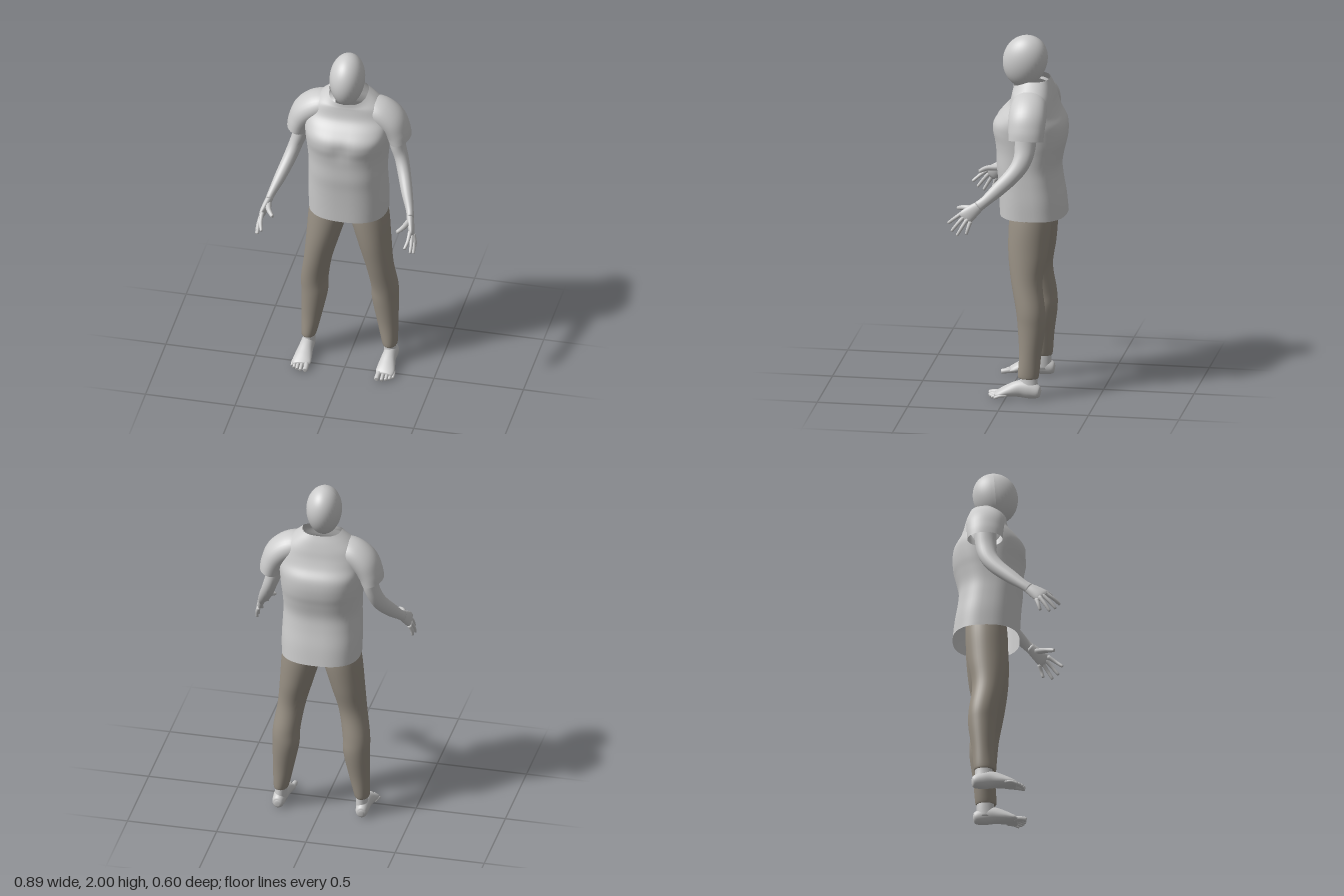
import * as THREE from 'three';

const lightGrey = new THREE.MeshStandardMaterial({ color: 0xcccccc, side: THREE.DoubleSide });
lightGrey.name = 'light grey';
const trouserTaupe = new THREE.MeshStandardMaterial({ color: 0x989084, side: THREE.DoubleSide });
trouserTaupe.name = 'trouser taupe';

// Smooth loft through rows of [x, y, z, radiusU, radiusV].
// level keeps every ring horizontal, power below 1 squares the section off.
function loft(rows, { level = false, power = 1, caps = true, sides = 24, steps = 5 } = {}) {
  const centre = new THREE.CatmullRomCurve3(rows.map(r => new THREE.Vector3(r[0], r[1], r[2])), false, 'catmullrom');
  const radii = new THREE.CatmullRomCurve3(rows.map(r => new THREE.Vector3(r[3], r[4], 0)), false, 'catmullrom');
  const n = (rows.length - 1) * steps;
  const down = Math.sign(rows[rows.length - 1][1] - rows[0][1]);
  const soften = c => Math.sign(c) * Math.pow(Math.abs(c), power);
  const pos = [], index = [];
  for (let i = 0; i <= n; i++) {
    const c = centre.getPoint(i / n), r = radii.getPoint(i / n);
    const t = level ? new THREE.Vector3(0, down, 0) : centre.getTangent(i / n);
    const u = new THREE.Vector3(1, 0, 0);
    u.addScaledVector(t, -u.dot(t)).normalize();
    const v = new THREE.Vector3().crossVectors(t, u);
    for (let j = 0; j < sides; j++) {
      const a = j / sides * Math.PI * 2;
      const p = c.clone().addScaledVector(u, r.x * soften(Math.cos(a))).addScaledVector(v, r.y * soften(Math.sin(a)));
      pos.push(p.x, p.y, p.z);
      if (i < n) {
        const k = i * sides + j, m = i * sides + (j + 1) % sides;
        index.push(k, m, m + sides, k, m + sides, k + sides);
      }
    }
  }
  if (caps) {
    const first = pos.length / 3, last = n * sides;
    const a = rows[0], b = rows[rows.length - 1];
    pos.push(a[0], a[1], a[2], b[0], b[1], b[2]);
    for (let j = 0; j < sides; j++) {
      const k = (j + 1) % sides;
      index.push(first, k, j, first + 1, last + j, last + k);
    }
  }
  const g = new THREE.BufferGeometry();
  g.setAttribute('position', new THREE.Float32BufferAttribute(pos, 3));
  g.setIndex(index);
  g.computeVertexNormals();
  return g;
}

// Tapered digit with a rounded tip
function digit(a, mid, b, r0, r1) {
  const end = b.map((q, i) => q + (b[i] - mid[i]) * 0.08);
  return loft([[...a, r0, r0], [...mid, (r0 + r1) / 2, (r0 + r1) / 2], [...b, r1, r1], [...end, r1 * 0.35, r1 * 0.35]],
    { sides: 10, steps: 4 });
}

export function createModel() {
  const model = new THREE.Group();
  model.name = 'figure';
  const add = (parent, name, geometry, material = lightGrey) => {
    const mesh = new THREE.Mesh(geometry, material);
    mesh.name = name;
    parent.add(mesh);
    return mesh;
  };

  // Head: plain egg, slightly narrower at the chin
  const egg = new THREE.SphereGeometry(1, 40, 28);
  const ep = egg.attributes.position;
  for (let i = 0; i < ep.count; i++) {
    const y = ep.getY(i), k = 1 + 0.06 * y;
    ep.setXYZ(i, ep.getX(i) * 0.096 * k, y * 0.145, ep.getZ(i) * 0.123 * k - 0.012 * y);
  }
  egg.computeVertexNormals();
  add(model, 'head', egg).position.set(0, 1.855, -0.066);

  // Shirt body: height, half width, front z, back z
  const profile = [
    [1.0, 0.217, 0.066, -0.3], [1.1, 0.219, 0.07, -0.289], [1.2, 0.216, 0.076, -0.272], [1.28, 0.214, 0.084, -0.266],
    [1.36, 0.218, 0.086, -0.281], [1.42, 0.224, 0.093, -0.295], [1.48, 0.23, 0.105, -0.3], [1.53, 0.235, 0.099, -0.292],
    [1.58, 0.236, 0.06, -0.262], [1.63, 0.226, 0.016, -0.243], [1.68, 0.2, 0, -0.231],
    [1.725, 0.155, -0.004, -0.218], [1.765, 0.108, -0.006, -0.203],
  ];
  const torso = loft(profile.map(([y, w, f, b]) => [0, y, (f + b) / 2, w, (f - b) / 2]),
    { level: true, power: 0.8, caps: false, sides: 56, steps: 5 });
  const tp = torso.attributes.position;
  for (let i = 0; i < tp.count; i++) {
    const x = tp.getX(i), y = tp.getY(i), z = tp.getZ(i);
    // hollow between the breasts, and a neckline that dips at the front
    if (z > 0) tp.setZ(i, z - 0.014 * Math.exp(-((x / 0.045) ** 2) - ((y - 1.48) / 0.06) ** 2));
    const high = THREE.MathUtils.smoothstep(y, 1.68, 1.765);
    tp.setY(i, y - 0.042 * high * THREE.MathUtils.clamp((z + 0.1) / 0.1, 0, 1));
  }
  torso.computeVertexNormals();
  add(model, 'shirtBody', torso);

  for (const s of [1, -1]) {
    const side = s > 0 ? 'left' : 'right';
    const flip = rows => rows.map(([x, ...rest]) => [x * s, ...rest]);
    const pt = ([x, y, z]) => [x * s, y, z];

    // Sleeve
    add(model, side + 'Sleeve', loft(flip([
      [0.1, 1.655, -0.115, 0.07, 0.085], [0.17, 1.642, -0.115, 0.078, 0.1], [0.235, 1.595, -0.117, 0.078, 0.104],
      [0.27, 1.535, -0.118, 0.068, 0.1], [0.286, 1.48, -0.118, 0.061, 0.096],
    ]), { caps: false, sides: 32 }));

    // Arm
    const arm = new THREE.Group();
    arm.name = side + 'Arm';
    model.add(arm);
    add(arm, 'armLimb', loft(flip([
      [0.255, 1.56, -0.115, 0.045, 0.06], [0.27, 1.45, -0.112, 0.042, 0.058], [0.295, 1.37, -0.098, 0.038, 0.05],
      [0.32, 1.3, -0.055, 0.036, 0.044], [0.355, 1.22, 0.025, 0.031, 0.038], [0.384, 1.16, 0.09, 0.022, 0.029],
      [0.396, 1.13, 0.128, 0.019, 0.03],
    ])));

    // Hand
    add(arm, 'palm', loft(flip([
      [0.39, 1.142, 0.112, 0.019, 0.027], [0.405, 1.107, 0.155, 0.019, 0.037],
      [0.418, 1.077, 0.19, 0.015, 0.041], [0.424, 1.064, 0.204, 0.007, 0.032],
    ])));
    const fingers = [
      [[0.414, 1.096, 0.212], [0.412, 1.063, 0.255], [0.401, 1.033, 0.29]],
      [[0.42, 1.081, 0.198], [0.427, 1.036, 0.237], [0.427, 0.997, 0.267]],
      [[0.424, 1.066, 0.182], [0.436, 1.018, 0.212], [0.439, 0.977, 0.236]],
      [[0.422, 1.052, 0.166], [0.434, 1.015, 0.177], [0.435, 0.985, 0.186]],
    ];
    fingers.forEach(([a, m, b]) => add(arm, 'finger', digit(pt(a), pt(m), pt(b), 0.012, 0.008)));
    add(arm, 'thumb', digit(pt([0.395, 1.118, 0.145]), pt([0.377, 1.117, 0.207]), pt([0.35, 1.105, 0.245]), 0.018, 0.01));

    // Trouser leg
    add(model, side + 'TrouserLeg', loft(flip([
      [0.108, 1.06, -0.115, 0.1, 0.11], [0.117, 0.95, -0.112, 0.107, 0.116], [0.143, 0.8, -0.106, 0.092, 0.108],
      [0.171, 0.65, -0.104, 0.077, 0.086], [0.195, 0.5, -0.128, 0.075, 0.08], [0.198, 0.4, -0.135, 0.073, 0.076],
      [0.213, 0.25, -0.13, 0.057, 0.061], [0.226, 0.13, -0.122, 0.042, 0.058], [0.226, 0.12, -0.122, 0.034, 0.046],
    ]), { level: true, sides: 36 }), trouserTaupe);

    // Foot
    const foot = new THREE.Group();
    foot.name = side + 'Foot';
    model.add(foot);
    add(foot, 'ankle', loft(flip([
      [0.225, 0.18, -0.125, 0.03, 0.045], [0.225, 0.11, -0.125, 0.032, 0.048], [0.23, 0.04, -0.122, 0.036, 0.054],
    ]), { level: true }));
    add(foot, 'footBody', loft(flip([
      [0.235, 0.04, -0.191, 0.012, 0.016], [0.234, 0.042, -0.178, 0.03, 0.035], [0.232, 0.052, -0.13, 0.037, 0.048],
      [0.231, 0.056, -0.075, 0.039, 0.047], [0.232, 0.043, -0.015, 0.047, 0.034], [0.233, 0.029, 0.03, 0.052, 0.023],
      [0.231, 0.022, 0.055, 0.044, 0.014],
    ])));
    const toes = [[0.2, 0.097, 0.015], [0.227, 0.094, 0.0105], [0.248, 0.086, 0.01], [0.266, 0.074, 0.0095], [0.281, 0.057, 0.009]];
    for (const [x, z, r] of toes) {
      const startX = 0.233 + (x - 0.233) * 0.8;
      add(foot, 'toe', digit(pt([startX, 0.025, z - 0.065]), pt([x, 0.023, z - 0.03]), pt([x, r + 0.002, z]), r, r * 0.9));
    }
  }
  return model;
}
